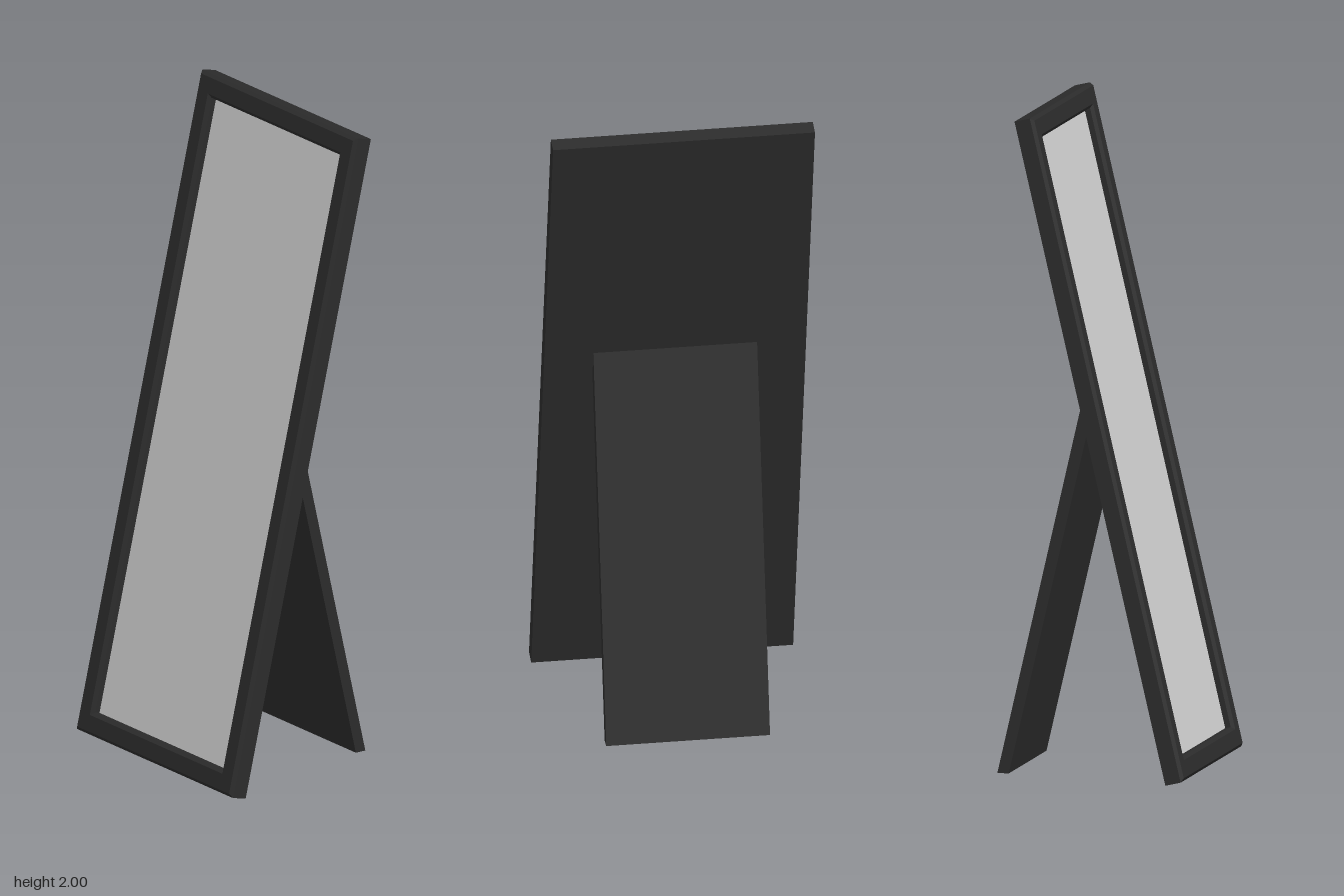
import * as THREE from 'three';

const WIDTH = 0.79, LENGTH = 2.041, TILT = 13.1 * Math.PI / 180;

// Sweeps a profile of [inset, depth] points around a rectangle with mitred corners
function sweepRectangle(profile, width, length) {
  const ring = ([inset, depth]) => {
    const x = width / 2 - inset;
    return [[-x, inset, depth], [x, inset, depth], [x, length - inset, depth], [-x, length - inset, depth]];
  };
  const positions = [];
  for (let k = 0; k < profile.length - 1; k++) {
    const outer = ring(profile[k]), inner = ring(profile[k + 1]);
    for (let i = 0; i < 4; i++) {
      const j = (i + 1) % 4;
      positions.push(...outer[i], ...outer[j], ...inner[j], ...outer[i], ...inner[j], ...inner[i]);
    }
  }
  const geometry = new THREE.BufferGeometry();
  geometry.setAttribute('position', new THREE.Float32BufferAttribute(positions, 3));
  geometry.computeVertexNormals();
  return geometry;
}

export function createModel() {
  const model = new THREE.Group();
  model.name = 'standingMirror';
  const black = new THREE.MeshStandardMaterial({ name: 'black frame', color: 0x2b2b2b });
  const silver = new THREE.MeshStandardMaterial({ name: 'silver glass', color: 0xcfcfcf });

  const add = (parent, name, geometry, material) => {
    const mesh = new THREE.Mesh(geometry, material);
    mesh.name = name;
    parent.add(mesh);
    return mesh;
  };

  // Leaning panel, pivoting on its lower back edge
  const panel = new THREE.Group();
  panel.name = 'mirrorPanel';
  panel.position.z = 0.248;
  panel.rotation.x = -TILT;
  model.add(panel);

  // Frame: straight sides, chamfered outer and inner front edges, recessed rebate
  const profile = [[0, 0], [0, 0.048], [0.01, 0.058], [0.059, 0.058], [0.069, 0.048], [0.069, 0.03]];
  add(panel, 'frame', sweepRectangle(profile, WIDTH, LENGTH), black);

  // Backing sheet and glass
  const back = add(panel, 'backing', new THREE.PlaneGeometry(WIDTH, LENGTH), black);
  back.position.y = LENGTH / 2;
  back.rotation.y = Math.PI;
  const glass = add(panel, 'glass', new THREE.PlaneGeometry(WIDTH - 0.138, LENGTH - 0.138), silver);
  glass.position.set(0, LENGTH / 2, 0.031);

  // Rear prop: side outline drawn in (-z, y), cut level with the floor
  const outline = new THREE.Shape([[0.267, 0], [0.302, 0], [0.028, 1.19], [0, 1.15]]
    .map(([x, y]) => new THREE.Vector2(x, y)));
  const propGeometry = new THREE.ExtrudeGeometry(outline, { depth: 0.494, bevelEnabled: false });
  propGeometry.translate(0, 0, -0.247).rotateY(Math.PI / 2);
  add(model, 'rearProp', propGeometry, black);

  return model;
}
